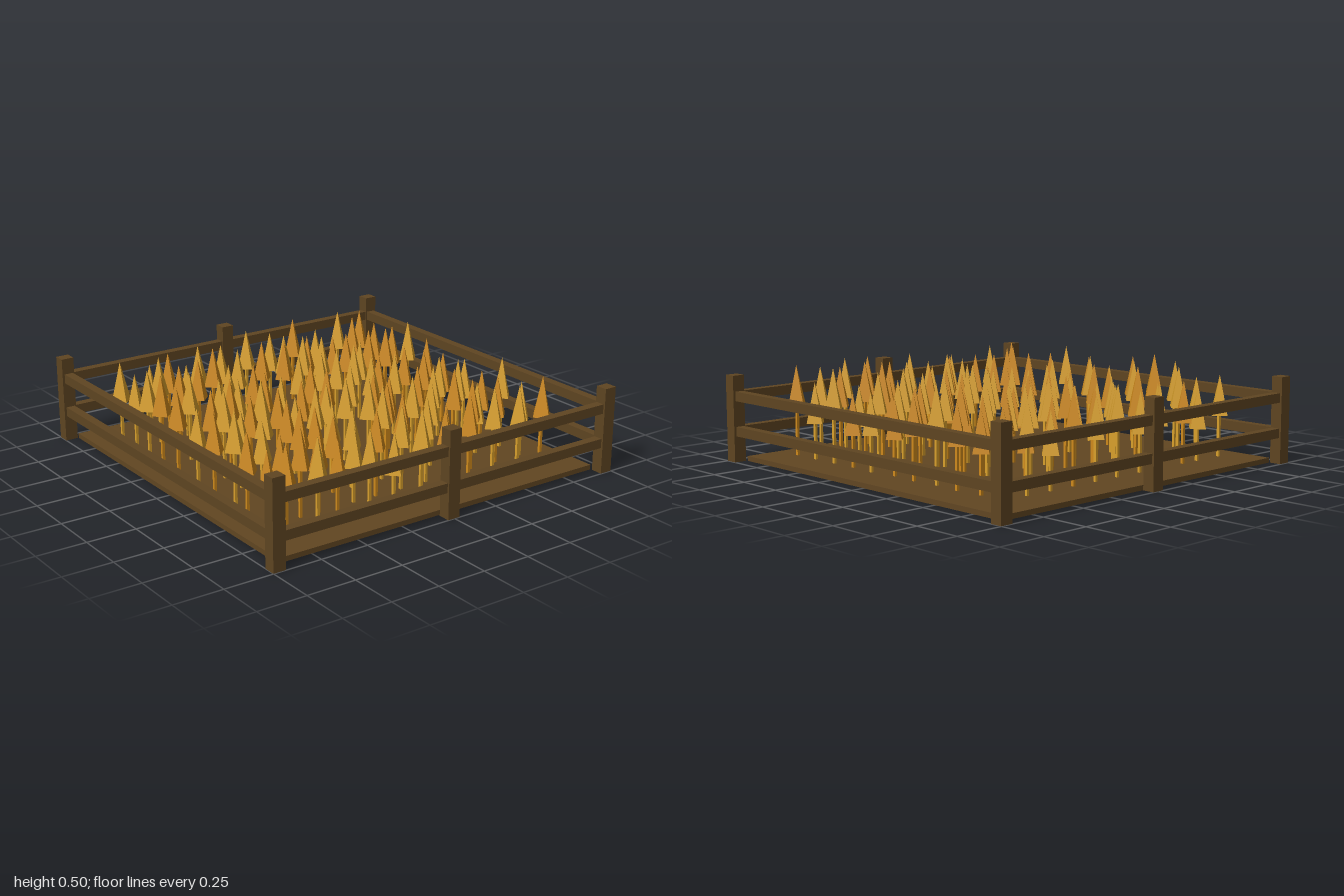
import * as THREE from 'three';

const flat = (color, name) => {
  const m = new THREE.MeshStandardMaterial({ color });
  m.name = name;
  return m;
};

// Planting positions along x for each row, in hundredths of a unit
const ROWS = [
  [-78, -61, -50, -32, -18, -2, 13, 28, 43, 58, 73],
  [-78, -64, -48, -32, -17, -2, 12, 27, 44, 57, 72],
  [-79, -61, -50, -32, -17, 2, 14, 26, 42, 57, 73],
  [-80, -64, -47, -36, -20, 1, 15, 25, 40, 57, 72],
  [-80, -61, -50, -32, -20, -2, 8, 25, 41, 58, 73],
  [-78, -63, -48, -32, -18, -3, 12, 25, 40, 59, 72],
  [-78, -63, -50, -32, -20, -2, 15, 25, 43, 57, 74],
  [-76, -61, -47, -31, -21, 1, 12, 28, 41, 57, 73],
  [-79, -61, -50, -31, -20, -2, 10, 28, 42, 57, 73],
  [-78, -60, -50, -30, -17, -2, 13, 25, 41, 57, 73],
  [-78, -61, -50, -32, -18, -2, 12, 27, 42, 58, 73],
];

export function createModel() {
  const model = new THREE.Group();
  model.name = 'fencedCropField';
  const wood = flat(0x5f4521, 'wood');
  const soil = flat(0x614622, 'soil');
  const golds = [flat(0xd9a02c, 'paleGold'), flat(0xcf8a1c, 'deepGold')];

  let seed = 11;
  const random = () => (seed = (seed * 16807) % 2147483647) / 2147483647;

  const box = (name, mat, w, h, d, x, y, z, parent) => {
    const mesh = new THREE.Mesh(new THREE.BoxGeometry(w, h, d), mat);
    mesh.name = name;
    mesh.position.set(x, y, z);
    parent.add(mesh);
    return mesh;
  };

  // Soil bed
  box('soilBed', soil, 1.86, 0.025, 1.86, 0, 0.0175, -0.003, model);

  // Fence: posts at corners and mid front/back, two rails on every side
  const fence = new THREE.Group();
  fence.name = 'fence';
  model.add(fence);
  for (const z of [-0.967, 0.967]) {
    for (const x of [-0.967, -0.003, 0.967]) {
      box('fencePost', wood, 0.066, 0.44, 0.062, x, 0.225, z, fence);
    }
  }
  for (const y of [0.161, 0.34]) {
    for (const s of [-1, 1]) {
      box('crossRail', wood, 1.9, 0.048, 0.046, 0, y, s * 0.965, fence);
      box('sideRail', wood, 0.046, 0.048, 1.9, s * 0.965, y, 0, fence);
    }
  }

  // Crop: thin stems carrying four-sided pointed heads
  const crop = new THREE.Group();
  crop.name = 'crop';
  model.add(crop);
  const headHeight = 0.205;
  const headShape = new THREE.ConeGeometry(0.055, headHeight, 4).toNonIndexed();
  headShape.computeVertexNormals();
  ROWS.forEach((row, r) => row.forEach((hundredths) => {
    const mat = golds[random() < 0.55 ? 0 : 1];
    const base = 0.19 + random() * 0.115;
    const plant = new THREE.Group();
    plant.name = 'stalk';
    plant.position.set(hundredths / 100, 0, -0.728 + r * 0.15);
    const stemHeight = base - 0.02;
    box('stem', mat, 0.014, stemHeight, 0.014, 0, 0.025 + stemHeight / 2, 0, plant);
    const head = new THREE.Mesh(headShape, mat);
    head.name = 'grainHead';
    head.position.y = base + headHeight / 2;
    plant.add(head);
    crop.add(plant);
  }));

  return model;
}
